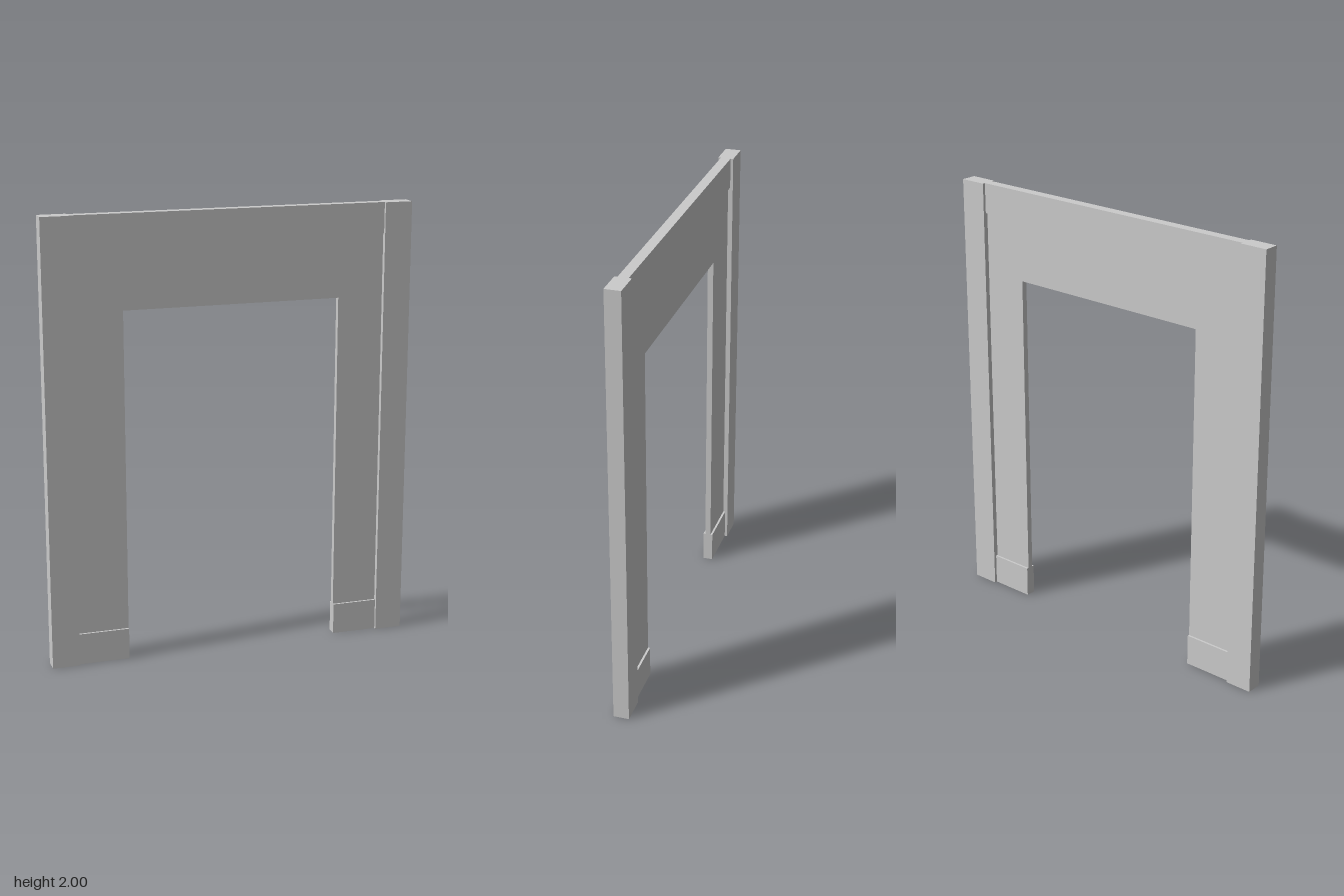
import * as THREE from 'three';

const material = new THREE.MeshStandardMaterial({ color: 0xcccccc, flatShading: true });

// Box given by its x and y limits and its depth, centred on z = 0
function slab(name, x0, x1, y0, y1, depth) {
  const mesh = new THREE.Mesh(new THREE.BoxGeometry(x1 - x0, y1 - y0, depth), material);
  mesh.position.set((x0 + x1) / 2, (y0 + y1) / 2, 0);
  mesh.name = name;
  return mesh;
}

export function createModel() {
  const group = new THREE.Group();
  group.name = 'doorwayWall';

  const outer = 0.83, inner = 0.706, height = 2;
  const openRight = -0.478, openLeft = 0.499, openTop = 1.585;
  const railBottom = 1.863, skirtTop = 0.142;
  const postDepth = 0.07, trimDepth = 0.045, panelDepth = 0.026;

  // Posts at both ends
  group.add(slab('rightPost', -outer, -inner, 0, height, postDepth));
  group.add(slab('leftPost', inner, outer, 0, height, postDepth));

  // Top rail and the skirting either side of the opening
  group.add(slab('topRail', -inner, inner, railBottom, height, trimDepth));
  group.add(slab('rightSkirting', -inner, openRight, 0, skirtTop, trimDepth));
  group.add(slab('leftSkirting', openLeft, inner, 0, skirtTop, trimDepth));

  // Thin wall panel around the door opening
  const outline = new THREE.Shape([
    [-inner, skirtTop], [openRight, skirtTop], [openRight, openTop], [openLeft, openTop],
    [openLeft, skirtTop], [inner, skirtTop], [inner, railBottom], [-inner, railBottom],
  ].map(([x, y]) => new THREE.Vector2(x, y)));
  const geometry = new THREE.ExtrudeGeometry(outline, { depth: panelDepth, bevelEnabled: false });
  geometry.translate(0, 0, -panelDepth / 2);
  const panel = new THREE.Mesh(geometry, material);
  panel.name = 'wallPanel';
  group.add(panel);

  return group;
}
